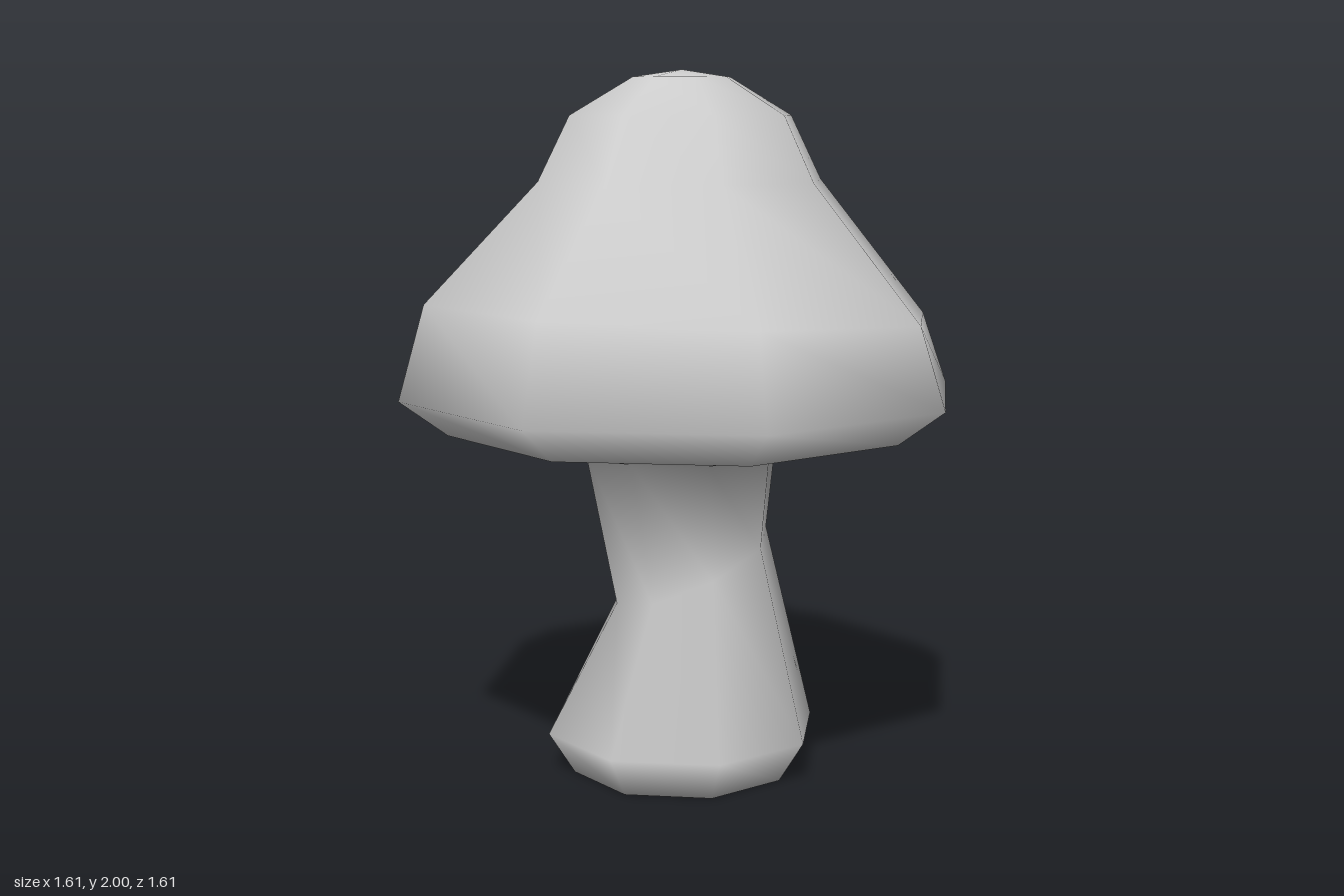
import * as THREE from 'three';

const SIDES = 8;

// Smooth loft through eight-sided rings, listed from the bottom, outward and up.
// r: radius, y: height, cx/cz: centre offset, tx/tz: rise of the ring towards +x/+z.
// A ring of radius 0 becomes a single pole vertex.
function loft(rings) {
  const positions = [];
  const ids = rings.map(({ r, y, cx = 0, cz = 0, tx = 0, tz = 0 }) => {
    const row = [];
    for (let j = 0; j < SIDES; j++) {
      if (r === 0 && j > 0) {
        row.push(row[0]);
        continue;
      }
      const a = (j / SIDES) * Math.PI * 2;
      const c = Math.cos(a), s = Math.sin(a);
      row.push(positions.length / 3);
      positions.push(cx + r * c, y + tx * c + tz * s, cz + r * s);
    }
    return row;
  });
  const index = [];
  for (let i = 0; i < rings.length - 1; i++) {
    for (let j = 0; j < SIDES; j++) {
      const k = (j + 1) % SIDES;
      const a = ids[i][j], b = ids[i][k], c = ids[i + 1][j], d = ids[i + 1][k];
      if (rings[i + 1].r > 0) index.push(a, c, d);
      if (rings[i].r > 0) index.push(a, d, b);
    }
  }
  // Drop triangles that collapsed onto a pole's neighbour-less side
  const geometry = new THREE.BufferGeometry();
  geometry.setAttribute('position', new THREE.Float32BufferAttribute(positions, 3));
  const clean = [];
  for (let i = 0; i < index.length; i += 3) {
    const [a, b, c] = index.slice(i, i + 3);
    if (a !== b && b !== c && a !== c) clean.push(a, b, c);
  }
  // A pole at the top still needs its closing fan
  rings.forEach((ring, i) => {
    if (ring.r === 0 && i > 0) {
      for (let j = 0; j < SIDES; j++) {
        const k = (j + 1) % SIDES;
        const tri = [ids[i - 1][j], ids[i][0], ids[i - 1][k]];
        const exists = clean.some((v, n) => n % 3 === 0 &&
          tri.every((t) => t === v || t === clean[n + 1] || t === clean[n + 2]));
        if (!exists) clean.push(...tri);
      }
    }
  });
  geometry.setIndex(clean);
  geometry.computeVertexNormals();
  return geometry;
}

export function createModel() {
  const model = new THREE.Group();
  model.name = 'mushroom';

  const grey = new THREE.MeshStandardMaterial({ color: 0xcccccc });
  grey.name = 'pale grey';

  const add = (name, rings) => {
    const mesh = new THREE.Mesh(loft(rings), grey);
    mesh.name = name;
    model.add(mesh);
  };

  // Bell-shaped cap with a slightly tilted shoulder
  add('cap', [
    { r: 0.67, y: 1.0 },
    { r: 0.805, y: 1.1 },
    { r: 0.73, y: 1.335, tx: -0.03, tz: 0.015 },
    { r: 0.41, y: 1.695 },
    { r: 0.32, y: 1.875 },
    { r: 0.14, y: 1.98 },
    { r: 0, y: 2.0 },
  ]);

  // Shallow hollow under the cap
  add('capUnderside', [
    { r: 0, y: 1.06 },
    { r: 0.59, y: 1.06 },
    { r: 0.67, y: 1.0 },
  ]);

  // Stem with a bulbous foot, a crooked waist and a flared collar
  add('stem', [
    { r: 0, y: 0 },
    { r: 0.32, y: 0 },
    { r: 0.395, y: 0.12 },
    { r: 0.222, y: 0.6, cx: 0.022, cz: 0.03, tx: 0.1 },
    { r: 0.28, y: 0.93 },
    { r: 0.485, y: 0.975 },
    { r: 0.56, y: 1.06 },
  ]);

  return model;
}
